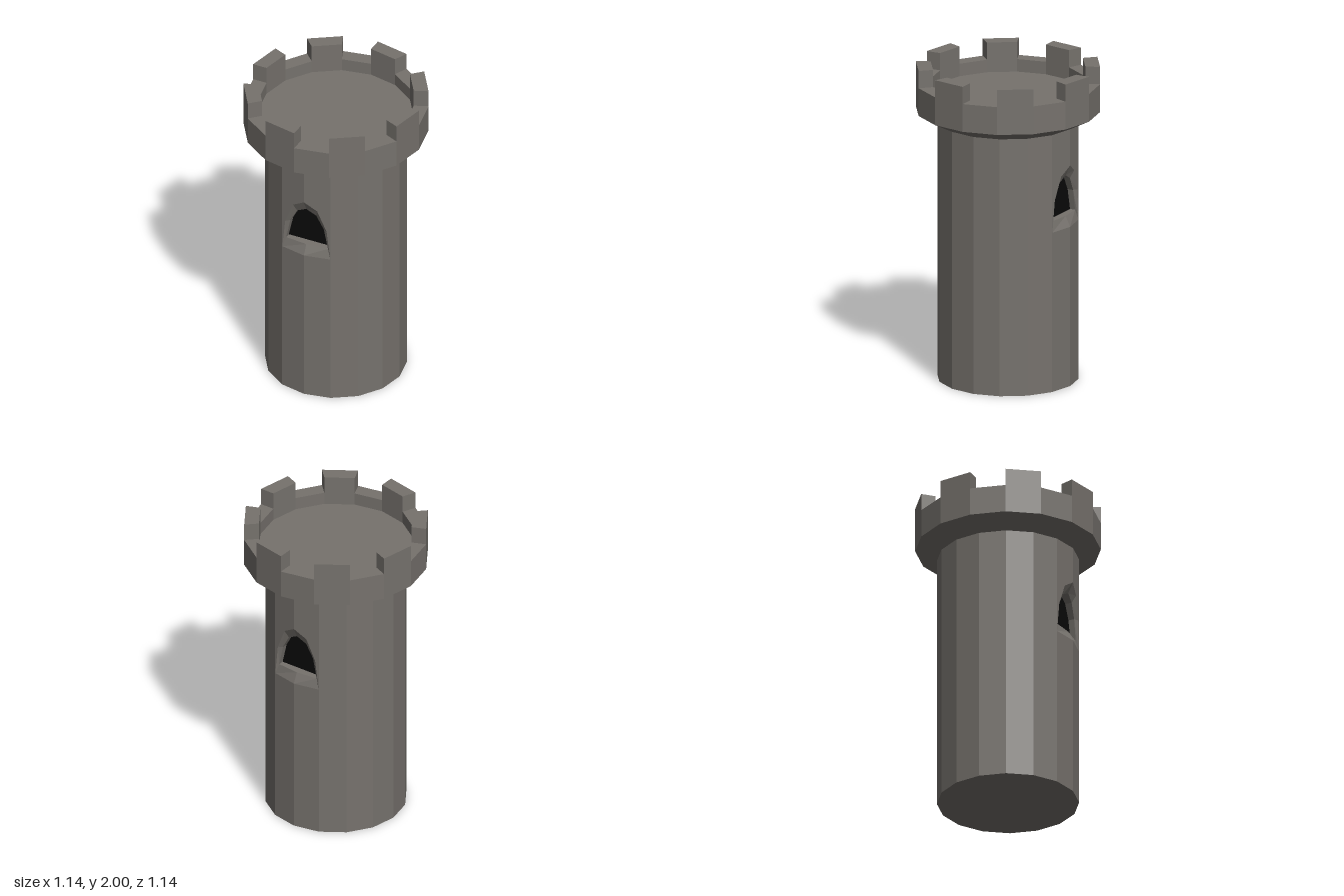
import * as THREE from 'three';

const SIDES = 16, STEP = (Math.PI * 2) / SIDES;
const R = 0.437, WALL_TOP = 1.645;          // shaft
const RIM = 0.57, RIM_IN = 0.478;           // parapet
const GAP_Y = 1.89, TOP = 2, FLOOR_Y = 1.81;
const FACET_X = R * Math.sin(STEP);
const wallZ = (x) => R - (Math.abs(x) * (R - R * Math.cos(STEP))) / FACET_X;

const shapeOf = (pts) => new THREE.Shape(pts.map(([x, y]) => new THREE.Vector2(x, y)));

// Right half of the window outline, from sill centre to apex
const outerHalf = [[0, 1.02], [0.165, 1.02], [0.142, 1.22], [0.083, 1.36], [0, 1.412]];
const innerHalf = [[0, 1.085], [0.145, 1.085], [0.115, 1.22], [0.066, 1.31], [0, 1.345]];
const mirrored = (half) => [...half, ...half.slice(1, -1).reverse().map(([x, y]) => [-x, y])];

// Joins closed rings of equal length with quads
function loft(rings) {
  const pos = [];
  for (let k = 0; k < rings.length - 1; k++) {
    const p = rings[k], q = rings[k + 1], n = p.length;
    for (let i = 0; i < n; i++) {
      const j = (i + 1) % n;
      pos.push(...p[i], ...p[j], ...q[j], ...p[i], ...q[j], ...q[i]);
    }
  }
  const g = new THREE.BufferGeometry();
  g.setAttribute('position', new THREE.Float32BufferAttribute(pos, 3));
  g.computeVertexNormals();
  return g;
}

// One facet of the shaft beside the window; side is 1 or -1
function windowFacet(side) {
  const pts = [[0, 0], [FACET_X, 0], [FACET_X, WALL_TOP], [0, WALL_TOP], ...outerHalf.slice().reverse()];
  const g = new THREE.ShapeGeometry(shapeOf(pts.map(([x, y]) => [x * side, y])));
  const p = g.attributes.position;
  for (let i = 0; i < p.count; i++) p.setZ(i, wallZ(p.getX(i)));
  g.computeVertexNormals();
  return g;
}

export function createModel() {
  const stone = new THREE.MeshStandardMaterial({ color: 0x76726d, flatShading: true });
  stone.name = 'stone';
  const dark = new THREE.MeshStandardMaterial({ color: 0x0a0a0a });
  dark.name = 'darkOpening';

  const tower = new THREE.Group();
  tower.name = 'tower';
  const add = (parent, name, geometry, material = stone) => {
    const mesh = new THREE.Mesh(geometry, material);
    mesh.name = name;
    parent.add(mesh);
    return mesh;
  };

  // Base underside
  add(tower, 'base', new THREE.CircleGeometry(R, SIDES)).rotation.x = Math.PI / 2;

  // Plain side walls and window bays, front and back
  for (const [name, turn] of [['front', 0], ['back', Math.PI]]) {
    const half = new THREE.Group();
    half.name = name + 'Half';
    half.rotation.y = turn;
    tower.add(half);

    const wall = new THREE.CylinderGeometry(R, R, WALL_TOP, SIDES - 10, 1, true, STEP, STEP * 6);
    add(half, name + 'SideWall', wall.translate(0, WALL_TOP / 2, 0));
    for (const side of [1, -1]) add(half, name + 'WindowWall', windowFacet(side));

    // Flared frame, then a straight reveal back to the dark opening
    const inner = mirrored(innerHalf);
    add(half, name + 'WindowFrame', loft([
      mirrored(outerHalf).map(([x, y]) => [x, y, wallZ(x)]),
      inner.map(([x, y]) => [x, y, 0.405 - 0.1 * Math.abs(x)]),
      inner.map(([x, y]) => [x, y, 0.355]),
    ]));
    add(half, name + 'WindowOpening', new THREE.ShapeGeometry(shapeOf(inner)), dark).position.z = 0.355;
  }

  // Flared parapet with sunken roof floor
  const profile = [[R, WALL_TOP], [RIM, 1.712], [RIM, GAP_Y], [RIM_IN, GAP_Y], [RIM_IN, FLOOR_Y], [0, FLOOR_Y]];
  add(tower, 'parapet', new THREE.LatheGeometry(profile.map(([x, y]) => new THREE.Vector2(x, y)), SIDES));

  // Battlements on every second facet
  for (let i = 1; i < SIDES; i += 2) {
    const at = (r, k) => [r * Math.sin(k * STEP), -r * Math.cos(k * STEP)];
    const g = new THREE.ExtrudeGeometry(
      shapeOf([at(RIM, i), at(RIM, i + 1), at(RIM_IN, i + 1), at(RIM_IN, i)]),
      { depth: TOP - GAP_Y, bevelEnabled: false });
    add(tower, 'battlement', g.rotateX(-Math.PI / 2).translate(0, GAP_Y, 0));
  }
  return tower;
}
